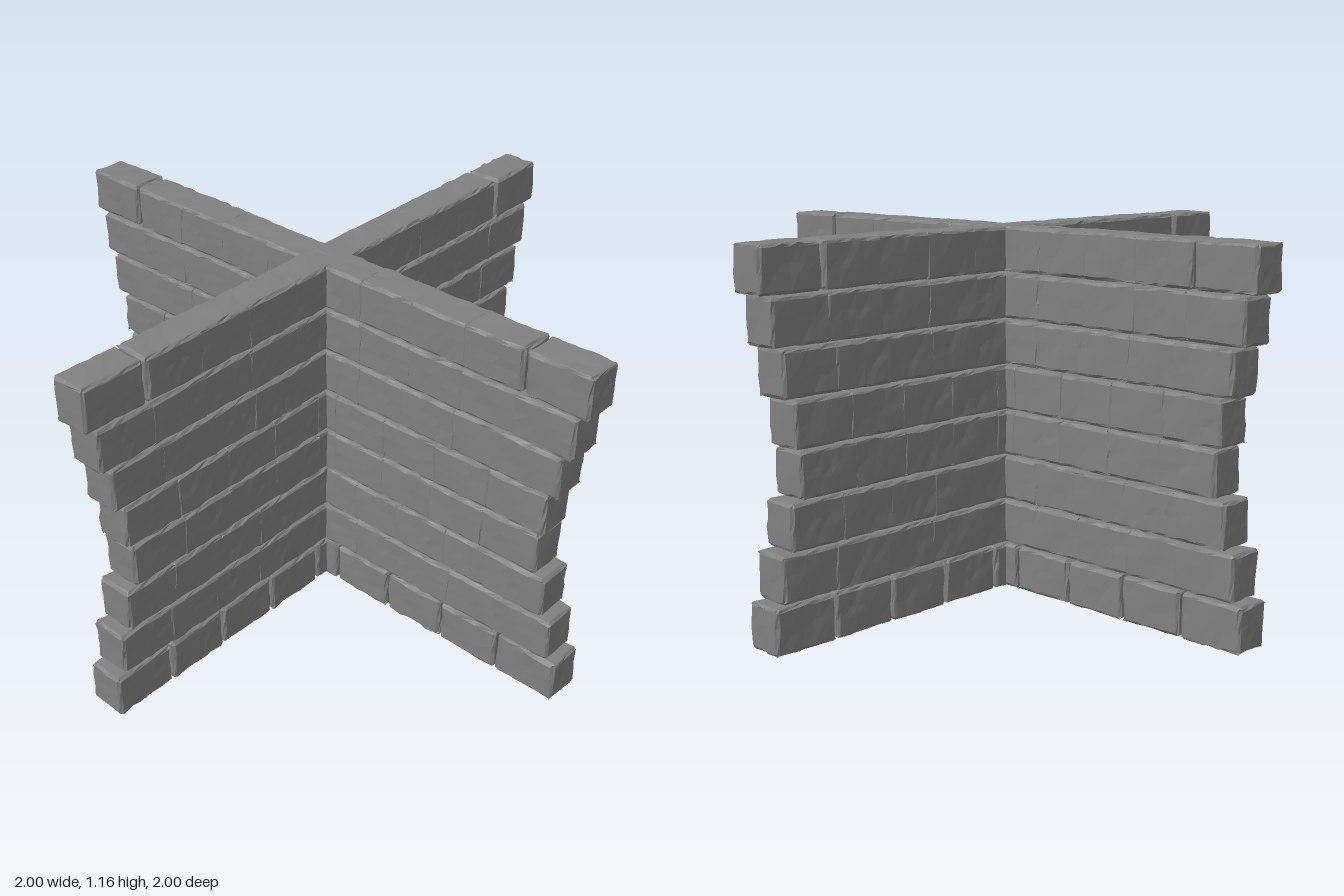
import * as THREE from 'three';
import { mergeGeometries, mergeVertices } from 'three/addons/utils/BufferGeometryUtils.js';

const HALF_LENGTHS = [0.98, 0.95, 0.915, 0.88, 0.895, 0.93, 0.965, 1.0]; // per course, bottom to top
const PITCH = 0.146, HEIGHT = 0.142, THICKNESS = 0.124, BRICK = 0.213, CHIP = 0.009;

// Small seeded generator
let seed = 7;
function random() {
  seed = (seed * 16807) % 2147483647;
  return seed / 2147483647;
}

// One worn stone brick: a gridded box with chipped edges and a slightly uneven face
function makeBrick() {
  const size = [BRICK, HEIGHT, THICKNESS], segments = [8, 5, 5];
  let geo = new THREE.BoxGeometry(...size, ...segments);
  geo.deleteAttribute('normal');
  geo.deleteAttribute('uv');
  geo = mergeVertices(geo, 1e-5);
  const pos = geo.attributes.position;
  const phase = random() * 6.28;
  for (let i = 0; i < pos.count; i++) {
    const p = [pos.getX(i), pos.getY(i), pos.getZ(i)];
    const outer = p.map((v, a) => Math.abs(v) > size[a] / 2 - 1e-4);
    const edges = outer.filter(Boolean).length;
    const q = p.map((v, a) => {
      const half = size[a] / 2, sign = Math.sign(v);
      if (outer[a]) {
        const wave = 0.0012 * (1 + Math.sin(p[0] * 28 + p[1] * 35 + p[2] * 31 + phase));
        const inset = edges > 1 ? 0.001 + random() * 0.008 : wave * (0.5 + random());
        return v - sign * inset;
      }
      // The ring next to each edge sits close to it to form a narrow bevel
      const ring = half - size[a] / segments[a];
      return Math.abs(Math.abs(v) - ring) < 1e-4
        ? sign * (half - CHIP - random() * 0.004)
        : v;
    });
    pos.setXYZ(i, ...q);
  }
  return geo;
}

// Brick centres evenly spaced so that the run spans -half to half
function spread(half, count) {
  const step = (2 * half - BRICK) / (count - 1);
  return Array.from({ length: count }, (_, i) => -half + BRICK / 2 + i * step);
}

// Bottom course has open joints, the top one only beside its end bricks; the others overlap
function brickCentres(row) {
  const half = HALF_LENGTHS[row];
  if (row === 0) return spread(half, 9);
  if (row === 7) {
    const end = half - BRICK / 2;
    return [-end, ...spread(half - BRICK - 0.007, 8), end];
  }
  return spread(half, half > 0.9 ? 10 : 9);
}

// One course of bricks laid along x
function makeCourse(row) {
  return mergeGeometries(brickCentres(row).map((x, i) => {
    // Alternating depth keeps overlapping faces apart
    const offset = i % 2 ? 0.0007 : -0.0007;
    return makeBrick().translate(x, HEIGHT / 2 + row * PITCH, offset);
  }));
}

export function createModel() {
  const model = new THREE.Group();
  model.name = 'crossedBrickWalls';
  const stone = new THREE.MeshStandardMaterial({ color: 0x808080, flatShading: true });

  // Two equal walls crossing at the centre
  ['sideToSideWall', 'frontToBackWall'].forEach((name, w) => {
    const wall = new THREE.Group();
    wall.name = name;
    HALF_LENGTHS.forEach((_, row) => {
      const course = new THREE.Mesh(makeCourse(row), stone);
      course.name = `brickCourse${row + 1}`;
      wall.add(course);
    });
    wall.rotation.y = w * Math.PI / 2;
    model.add(wall);
  });
  return model;
}
